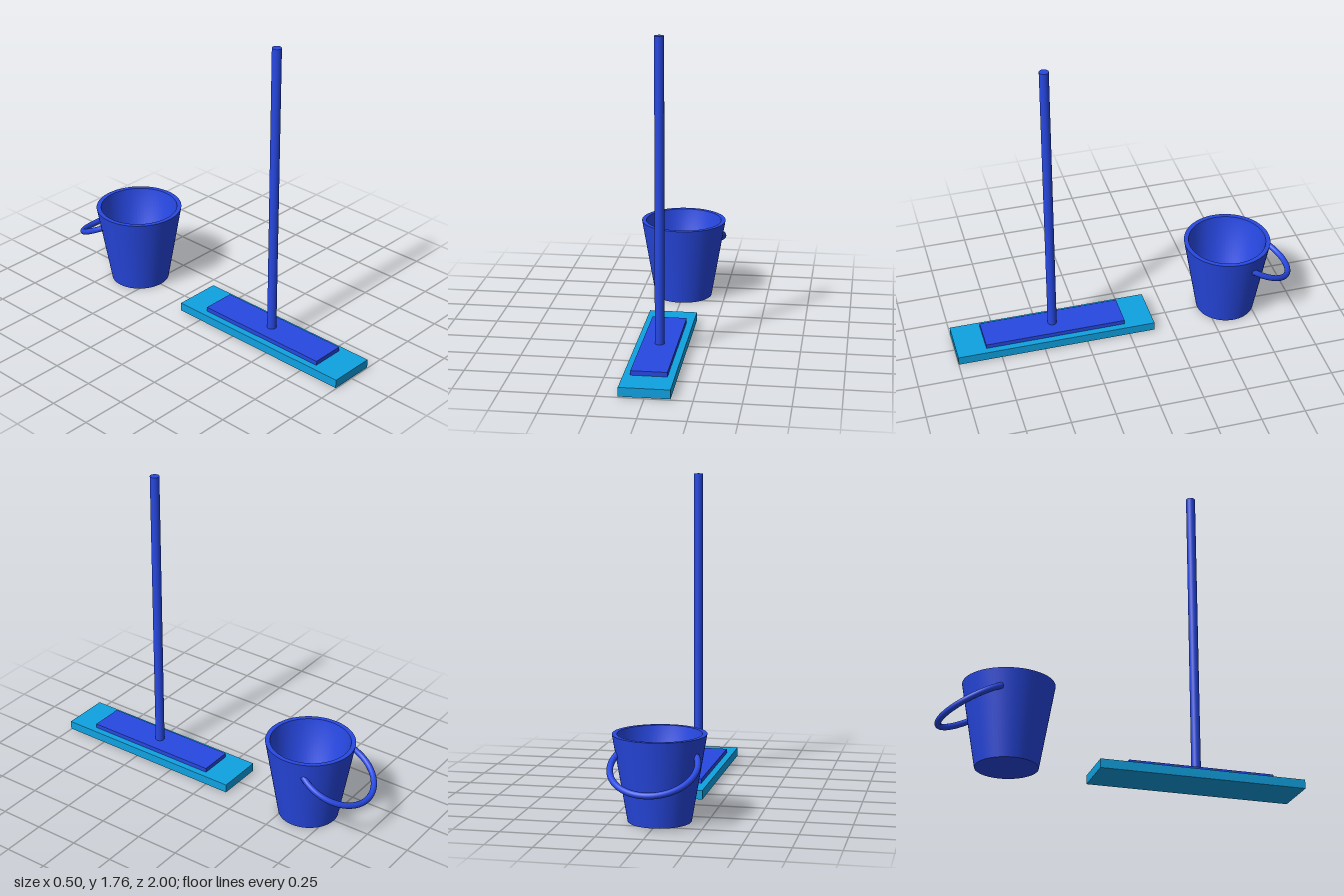
import * as THREE from 'three';

export function createModel() {
  const group = new THREE.Group();
  const blue = new THREE.MeshStandardMaterial({ color: 0x2748e2 });
  blue.name = 'blue plastic';
  const sky = new THREE.MeshStandardMaterial({ color: 0x0fa2e2 });
  sky.name = 'light blue pad';

  const add = (name, geometry, material, x, y, z, parent = group) => {
    const mesh = new THREE.Mesh(geometry, material);
    mesh.name = name;
    mesh.position.set(x, y, z);
    parent.add(mesh);
    return mesh;
  };

  // Flat mop: pad, mounting plate and upright pole
  const mop = new THREE.Group();
  mop.name = 'mop';
  group.add(mop);
  const mopZ = 0.427;
  add('mopPad', new THREE.BoxGeometry(0.27, 0.05, 1.146), sky, 0, 0.03, mopZ, mop);
  add('mopPlate', new THREE.BoxGeometry(0.194, 0.027, 0.81), blue, 0, 0.0665, mopZ, mop);
  add('mopPole', new THREE.CylinderGeometry(0.026, 0.026, 1.685, 32), blue, 0, 0.9175, mopZ, mop);

  // Bucket: one closed wall profile, points doubled where the edge is sharp
  const bucket = new THREE.Group();
  bucket.name = 'bucket';
  group.add(bucket);
  const profile = [
    [0, 0], [0.168, 0], [0.168, 0],
    [0.248, 0.463], [0.248, 0.463],
    [0.222, 0.463], [0.222, 0.463],
    [0.148, 0.03], [0, 0.03],
  ].map(([r, y]) => new THREE.Vector2(r, y));
  add('bucketShell', new THREE.LatheGeometry(profile, 64), blue, 0, 0, -0.615, bucket);

  // Bail handle hanging back and down, its ends sunk in the bucket wall
  const overlap = THREE.MathUtils.degToRad(24);
  const bail = new THREE.TorusGeometry(0.226, 0.017, 16, 64, Math.PI + 2 * overlap);
  bail.rotateZ(-overlap);
  bail.rotateX(THREE.MathUtils.degToRad(-117.8));
  add('bucketHandle', bail, blue, -0.006, 0.325, -0.783, bucket);

  return group;
}
